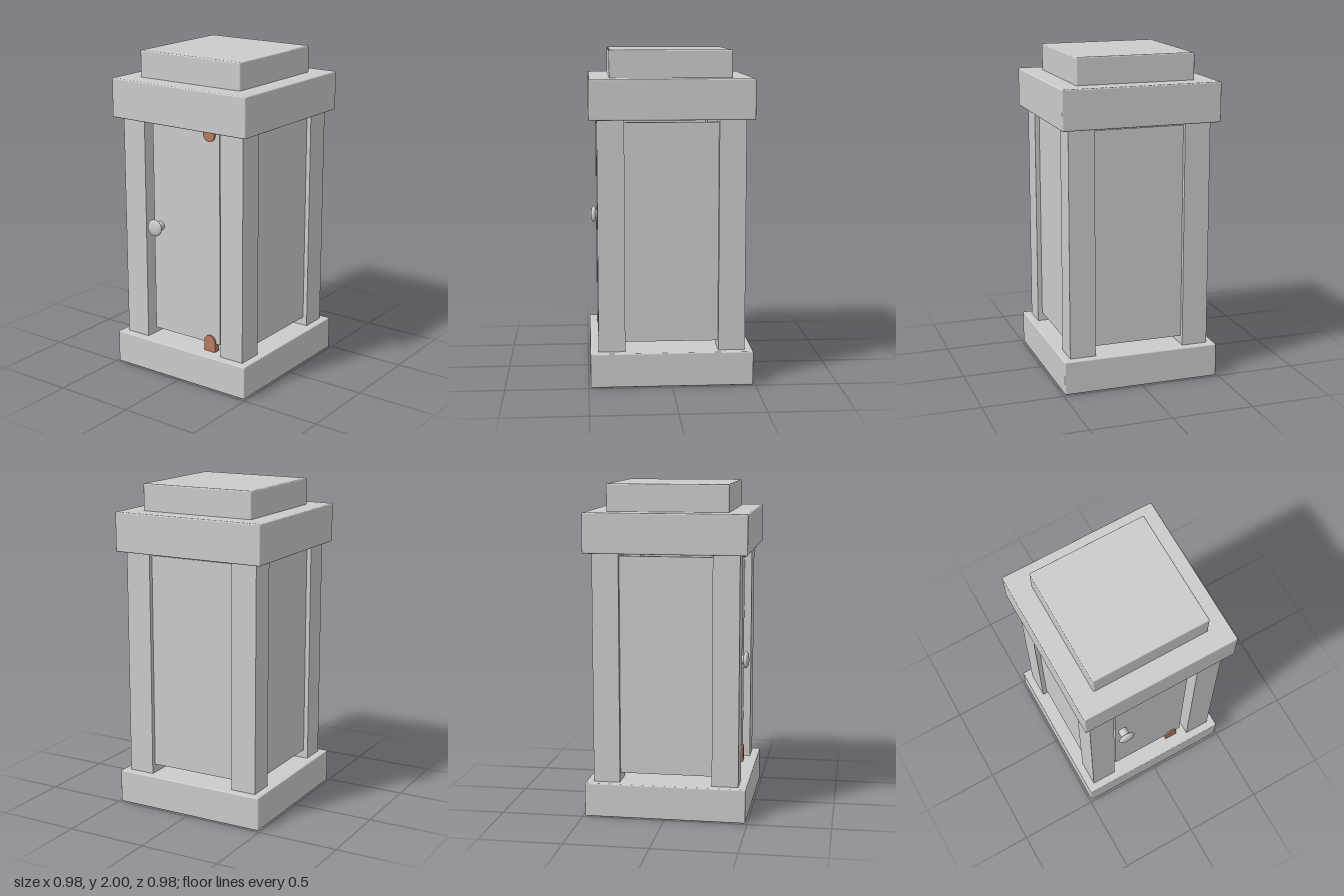
import * as THREE from 'three';
import { RoundedBoxGeometry } from 'three/addons/geometries/RoundedBoxGeometry.js';

export function createModel() {
  const model = new THREE.Group();
  model.name = 'lantern';
  const grey = new THREE.MeshStandardMaterial({ color: 0xcccccc });
  const copper = new THREE.MeshStandardMaterial({ color: 0xb87a5c });

  const add = (name, geometry, x, y, z, material = grey) => {
    const mesh = new THREE.Mesh(geometry, material);
    mesh.name = name;
    mesh.position.set(x, y, z);
    model.add(mesh);
    return mesh;
  };

  // Square slabs with softened edges: base, roof and cap
  const slab = (name, width, bottom, top) =>
    add(name, new RoundedBoxGeometry(width, top - bottom, width, 3, 0.008), 0, (bottom + top) / 2, 0);
  slab('base', 0.976, 0, 0.207);
  slab('roof', 0.976, 1.597, 1.837);
  slab('cap', 0.73, 1.825, 2);

  // Four corner posts
  for (const [sx, end] of [[1, 'Left'], [-1, 'Right']]) {
    for (const [sz, side] of [[1, 'front'], [-1, 'back']]) {
      add(`${side}${end}Post`, new THREE.BoxGeometry(0.16, 1.4, 0.16), sx * 0.36, 0.902, sz * 0.36);
    }
  }

  // Fixed panes on the sides and back, held between the posts
  const paneHeight = 1.32, paneY = 0.92, paneOffset = 0.402;
  const pane = new THREE.BoxGeometry(0.57, paneHeight, 0.02);
  add('backPanel', pane, 0, paneY, -paneOffset);
  add('leftPanel', pane, paneOffset, paneY, 0).rotation.y = Math.PI / 2;
  add('rightPanel', pane, -paneOffset, paneY, 0).rotation.y = -Math.PI / 2;

  // Door, slightly narrower than its opening
  add('door', new THREE.BoxGeometry(0.495, paneHeight, 0.02), -0.002, paneY, 0.388);

  // Round-ended pivot hinges above and below the door
  const tab = new THREE.Shape();
  tab.moveTo(-0.04, 0);
  tab.lineTo(0.04, 0);
  tab.lineTo(0.04, 0.067);
  tab.absarc(0, 0.067, 0.04, 0, Math.PI, false);
  tab.closePath();
  const hinge = new THREE.ExtrudeGeometry(tab, { depth: 0.042, bevelEnabled: false, curveSegments: 24 });
  hinge.translate(0, 0, -0.021);
  add('lowerHinge', hinge, 0.175, 0.203, 0.388, copper);
  add('upperHinge', hinge, 0.175, 1.63, 0.388, copper).rotation.z = Math.PI;

  // Door knob: short neck and flattened ball
  const neck = new THREE.CylinderGeometry(0.028, 0.028, 0.07, 32);
  neck.rotateX(Math.PI / 2);
  add('knobNeck', neck, -0.2, 0.94, 0.425);
  const ball = new THREE.SphereGeometry(0.052, 32, 20);
  ball.scale(1, 1, 0.35);
  add('knob', ball, -0.2, 0.94, 0.457);

  return model;
}
